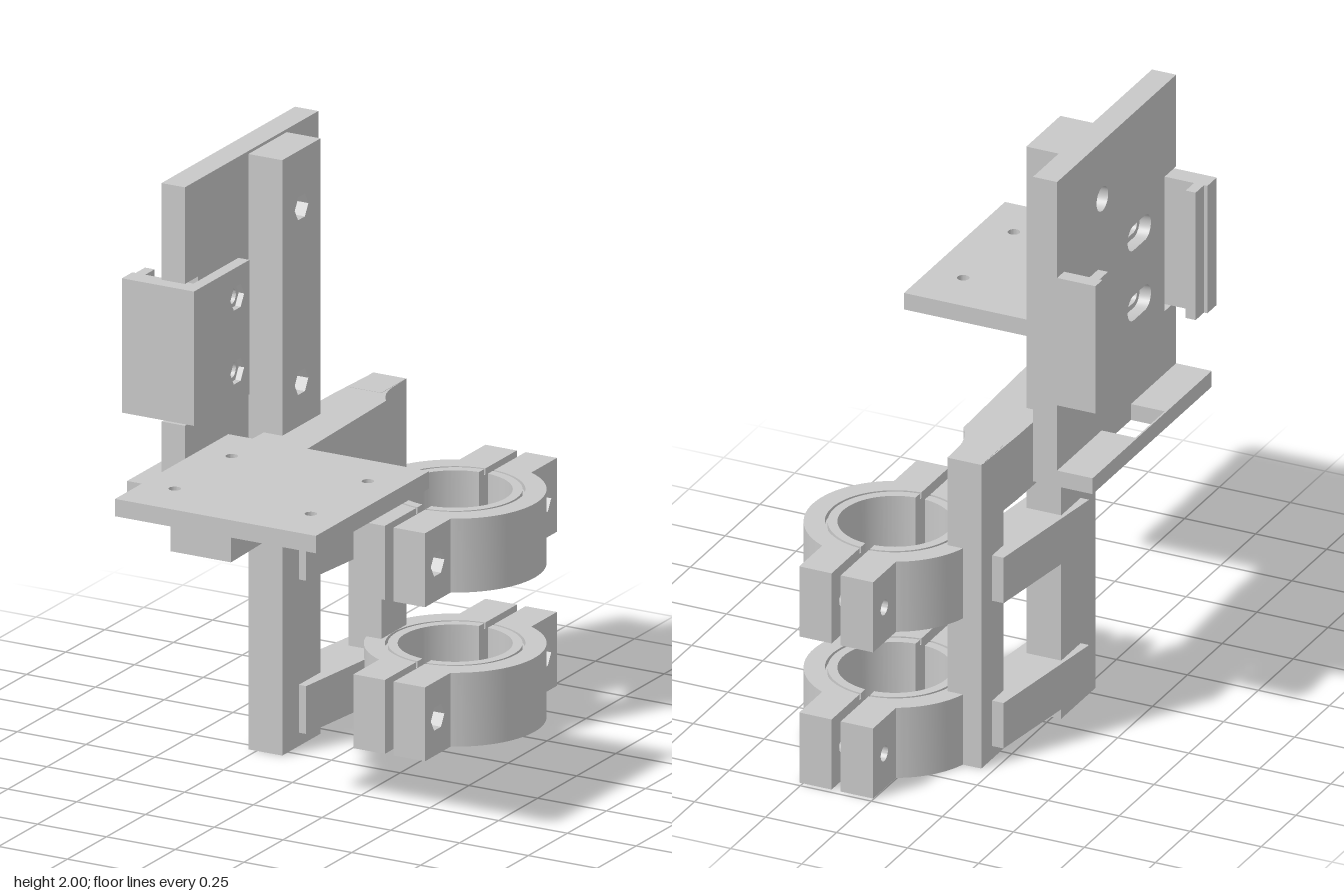
import * as THREE from 'three';
import { toCreasedNormals } from 'three/addons/utils/BufferGeometryUtils.js';

export function createModel() {
  const model = new THREE.Group();
  const grey = new THREE.MeshStandardMaterial({ color: 0xc8c8c8 });
  grey.name = 'light grey plastic';

  const add = (name, geometry, parent = model) => {
    const mesh = new THREE.Mesh(toCreasedNormals(geometry, 0.5), grey);
    mesh.name = name;
    parent.add(mesh);
  };
  const box = (name, x0, x1, y0, y1, z0, z1) => {
    const g = new THREE.BoxGeometry(x1 - x0, y1 - y0, z1 - z0);
    g.translate((x0 + x1) / 2, (y0 + y1) / 2, (z0 + z1) / 2);
    add(name, g);
  };
  // regular polygon or circle; stretch > 0 turns it into a slot
  const ring = (u, v, r, n = 24, stretch = 0) => new THREE.Path(
    Array.from({ length: n }, (_, i) => {
      const a = (i / n) * Math.PI * 2 + (n > 6 ? Math.PI / n : 0);
      const c = Math.cos(a);
      return new THREE.Vector2(u + c * r + Math.sign(c) * stretch, v + Math.sin(a) * r);
    }));
  const outline = (pts) => new THREE.Shape(pts.map(([u, v]) => new THREE.Vector2(u, v)));
  const extrude = (shape, depth) => new THREE.ExtrudeGeometry(shape, { depth, bevelEnabled: false, curveSegments: 40 });

  // outline seen from above, [x, z] points and [x, z, r] holes
  const plan = (name, pts, y0, y1, holes = []) => {
    const shape = outline(pts.map(([x, z]) => [x, -z]));
    holes.forEach(([x, z, r]) => shape.holes.push(ring(x, -z, r)));
    const g = extrude(shape, y1 - y0);
    g.rotateX(-Math.PI / 2).translate(0, y0, 0);
    add(name, g);
  };
  // outline seen from the side, [z, y] points and [z, y, r, sides, stretch] holes
  const side = (name, pts, x0, x1, holes = [], parent = model) => {
    const shape = outline(pts.map(([z, y]) => [-z, y]));
    holes.forEach(([z, y, r, n, s]) => shape.holes.push(ring(-z, y, r, n, s)));
    const g = extrude(shape, x1 - x0);
    g.rotateY(Math.PI / 2).translate(x0, 0, 0);
    add(name, g, parent);
  };
  const rect = (u0, u1, v0, v1) => [[u0, v0], [u1, v0], [u1, v1], [u0, v1]];
  // bolted block: round holes with hexagonal nut pockets on the +x face
  const bolted = (name, pts, x0, x1, pocket, holes, parent = model) => {
    side(name, pts, x0, x1 - pocket, holes.map(([z, y]) => [z, y, 0.026]), parent);
    side(name + 'NutPocket', pts, x1 - pocket, x1, holes.map(([z, y]) => [z, y, 0.044, 6]), parent);
  };

  // uprights
  bolted('mainPost', rect(-0.207, 0.038, 0, 1.99), -0.28, -0.157, 0.04, [[-0.085, 1.213], [-0.085, 1.797]]);
  box('rearPost', -0.21, -0.09, 0, 1.07, -0.638, -0.478);

  // tapered struts between the posts
  for (const y of [0.045, 0.557]) {
    plan('strut', [[-0.31, -0.068], [-0.13, -0.068], [-0.085, -0.5], [-0.12, -0.56], [-0.25, -0.56]], y, y + 0.16);
  }

  // horizontal arm, hollowed near the back to clear the clamped tube, and its platform
  const clearance = [-0.45, -0.48, -0.52, -0.5575].map((z) => [0.1325 - Math.sqrt(0.22 ** 2 - (z + 0.5575) ** 2), z]);
  plan('arm', [[-0.23, 0.625], [-0.01, 0.625], [-0.04, -0.42], ...clearance,
    [-0.09, -0.638], [-0.21, -0.638], [-0.22, -0.4]], 0.846, 1.069, [[-0.12, 0.45, 0.03]]);
  plan('platform', rect(-0.23, 0.5, 0.255, 0.98), 1.069, 1.127,
    [[-0.115, 0.435, 0.02], [0.38, 0.435, 0.02], [-0.115, 0.8, 0.02], [0.38, 0.8, 0.02]]);

  // split ring clamps
  const gap = 0.016;
  const halfRing = (name, inner, outer, y0, y1, s, parent) => {
    const a = Math.acos(gap / outer), b = Math.acos(gap / inner);
    const shape = new THREE.Shape();
    shape.absarc(0, 0, outer, -a, a, false);
    shape.absarc(0, 0, inner, b, -b, true);
    const g = extrude(shape, y1 - y0);
    g.rotateX(-Math.PI / 2).translate(0, y0, 0);
    if (s < 0) g.rotateY(Math.PI);
    add(name, g, parent);
  };
  for (const y of [0, 0.515]) {
    const clamp = new THREE.Group();
    clamp.name = 'ringClamp';
    clamp.position.set(0.133, y, -0.5585);
    model.add(clamp);
    const h = 0.247;
    for (const s of [-1, 1]) {
      halfRing('clampHalf', 0.222, 0.289, 0, h, s, clamp);
      halfRing('grooveFloor', 0.21, 0.225, 0.02, h - 0.02, s, clamp);
      halfRing('liner', 0.182, 0.213, 0, h, s, clamp);
      for (const t of [-1, 1]) {
        const pts = t > 0 ? rect(0.235, 0.4225, 0, h) : rect(-0.4225, -0.235, 0, h);
        const hole = [[t * 0.342, 0.123]];
        if (s > 0) bolted('clampTab', pts, gap, 0.13, 0.04, hole, clamp);
        else side('clampTab', pts, -0.13, -gap, [[...hole[0], 0.026]], clamp);
      }
    }
  }

  // mounting panel, notched where the sliding bracket wraps its edge;
  // holes and slots are counterbored on the outer face
  const panel = [[-0.41, 0.927], [0.445, 0.927], [0.445, 1.203], [0.36, 1.203], [0.36, 1.677],
    [0.445, 1.677], [0.445, 2], [-0.41, 2]];
  const panelHoles = (hole, slot) => [[-0.085, 1.213, hole], [-0.085, 1.797, hole],
    [0.18, 1.313, slot, 24, 0.04], [0.18, 1.56, slot, 24, 0.04]];
  side('panel', panel, -0.325, -0.28, panelHoles(0.026, 0.026));
  side('panelCounterbore', panel, -0.365, -0.325, panelHoles(0.042, 0.044));
  // bottom ledge with a cable opening closed by a thin rim
  box('ledgeRear', -0.49, -0.365, 0.927, 0.983, -0.41, -0.09);
  box('ledgeFront', -0.49, -0.365, 0.927, 0.983, 0.12, 0.445);
  box('ledgeRim', -0.49, -0.484, 0.927, 0.983, -0.09, 0.12);

  // fixed rear rail
  plan('fixedRail', [[-0.365, -0.41], [-0.5, -0.41], [-0.5, -0.36], [-0.49, -0.36], [-0.49, -0.3],
    [-0.455, -0.3], [-0.455, -0.36], [-0.365, -0.36]], 1.213, 1.662);
  // sliding front rail with its bolted backing plate
  plan('slidingRail', [[-0.24, 0.457], [-0.502, 0.457], [-0.502, 0.39], [-0.49, 0.39], [-0.49, 0.33],
    [-0.455, 0.33], [-0.455, 0.39], [-0.24, 0.39]], 1.213, 1.662);
  bolted('slidingPlate', rect(0.102, 0.39, 1.213, 1.662), -0.28, -0.24, 0.02, [[0.18, 1.313], [0.18, 1.56]]);

  return model;
}
